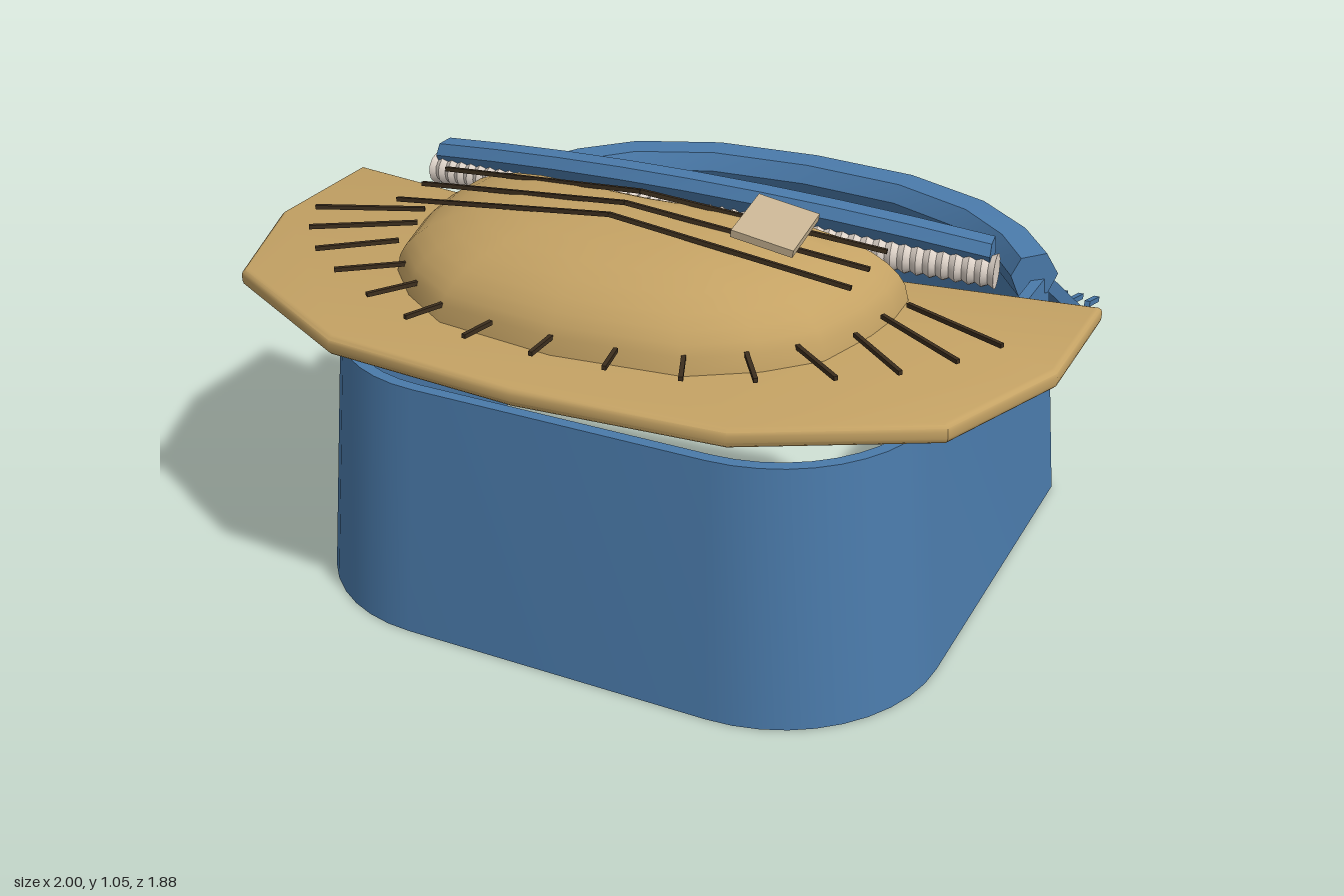
import * as THREE from 'three';
import { toCreasedNormals } from 'three/addons/utils/BufferGeometryUtils.js';
import { ConvexGeometry } from 'three/addons/geometries/ConvexGeometry.js';

const V = (x, y, z) => new THREE.Vector3(x, y, z);
const mat = (name, color) => {
  const m = new THREE.MeshStandardMaterial({ color });
  m.name = name;
  return m;
};

// Closed solid through a row of rings with equal point counts, capped at both ends
function loft(rings, crease) {
  const m = rings[0].length, n = rings.length, index = [];
  for (let i = 0; i < n - 1; i++) for (let j = 0; j < m; j++) {
    const k = (j + 1) % m, a = i * m + j, b = i * m + k, c = a + m, d = b + m;
    index.push(a, b, d, a, d, c);
  }
  const e = (n - 1) * m;
  for (let j = 1; j < m - 1; j++) index.push(0, j + 1, j, e, e + j, e + j + 1);
  const pts = rings.flat();
  // Flip the faces if the solid is inside out
  let volume = 0;
  for (let i = 0; i < index.length; i += 3) {
    volume += pts[index[i]].dot(pts[index[i + 1]].clone().cross(pts[index[i + 2]]));
  }
  if (volume < 0) index.reverse();
  const g = new THREE.BufferGeometry().setFromPoints(pts);
  g.setIndex(index);
  return toCreasedNormals(g, crease);
}

// Horizontal direction across a path at point i
function across(path, i) {
  const t = path[Math.min(i + 1, path.length - 1)].clone().sub(path[Math.max(i - 1, 0)]);
  return V(t.z, 0, -t.x).normalize();
}

// Sweep a section of [outward, up] offsets along a path
const sweep = (path, section, crease) => loft(path.map((p, i) => {
  const out = across(path, i), [pts] = [section(i)];
  return pts.map(([o, u]) => p.clone().addScaledVector(out, o).add(V(0, u, 0)));
}), crease);

// Tapered upright wall following a floor outline
function wall(path, height, thick, taper) {
  return loft(path.map((p, i) => {
    const inner = p.clone().addScaledVector(across(path, i), -thick);
    const up = q => V(q.x * taper, height, q.z * taper);
    return [p, up(p), up(inner), inner];
  }), 0.5);
}

export function createModel() {
  const model = new THREE.Group();
  const blue = mat('blue cloth', 0x4a7aaa);
  const straw = mat('straw', 0xc4a264);
  const dark = mat('dark brown', 0x3c2e1e);
  const cream = mat('cream', 0xddd2c8);
  const beige = mat('beige', 0xc8b493);
  const add = (name, geometry, material, parent = model) => {
    const mesh = new THREE.Mesh(geometry, material);
    mesh.name = name;
    parent.add(mesh);
    return mesh;
  };
  const rod = (name, a, b, w, material, parent) => {
    const d = b.clone().sub(a);
    const mesh = add(name, new THREE.BoxGeometry(w, w, d.length()), material, parent);
    mesh.position.copy(a).add(b).multiplyScalar(0.5);
    mesh.quaternion.setFromUnitVectors(V(0, 0, 1), d.normalize());
  };

  // Front wall: straight sides with wide round corners
  const r = 0.4, front = [V(0.79, 0, -0.5)];
  for (const side of [1, -1]) {
    for (let i = 0; i <= 10; i++) {
      const a = (side > 0 ? i : 10 - i) / 10 * Math.PI / 2;
      front.push(V(side * (0.79 - r + r * Math.cos(a)), 0, 0.81 - r + r * Math.sin(a)));
    }
  }
  front.push(V(-0.79, 0, -0.5));
  add('frontWall', wall(front, 0.63, 0.03, 0.938), blue);

  // Back wall: faceted panel
  const back = [[-0.78, -0.505], [-0.66, -0.67], [-0.39, -0.79], [0.39, -0.79], [0.66, -0.67], [0.78, -0.505]];
  add('backWall', wall(back.map(([x, z]) => V(x, 0, z)), 0.63, 0.03, 0.93), blue);

  // Six-sided collar around the back
  const hex = [[-0.04, 0.05], [0.03, 0.055], [0.065, -0.005], [0.04, -0.055], [-0.04, -0.055], [-0.065, 0.005]];
  const half = [[0.28, 0.684, -0.665], [0.5, 0.676, -0.595], [0.635, 0.66, -0.51], [0.72, 0.645, -0.415]].map(p => V(...p));
  const collarPath = [...half.map(p => V(-p.x, p.y, p.z)).reverse(), V(0, 0.687, -0.682), ...half];
  add('collar', sweep(collarPath, () => hex, 0.3), blue);

  // Hanging scarf end with fringe
  const flap = [V(0.5, 0.62, -0.67), V(0.63, 0.62, -0.61), V(0.78, 0.37, -0.81), V(0.62, 0.4, -0.865)];
  add('scarfEnd', new ConvexGeometry(flap.flatMap(p => [p, p.clone().add(V(-0.012, -0.03, 0.012))])), blue);
  for (let i = 0; i < 4; i++) {
    const x = 0.622 + i * 0.045;
    rod('fringe', V(x, 0.39, -0.84), V(x, 0.36, -0.945), 0.015, blue);
  }

  // Hat brim
  const hat = new THREE.Group();
  hat.name = 'hat';
  model.add(hat);
  const bevel = 0.015;
  const edge = [[0.985, 0.03], [0.985, 0.36], [0.86, 0.68], [0.475, 0.885], [0, 0.92],
    [-0.475, 0.885], [-0.86, 0.68], [-0.985, 0.36], [-0.985, 0.03], [0, 0.16]];
  const brim = new THREE.ExtrudeGeometry(new THREE.Shape(edge.map(p => new THREE.Vector2(...p))),
    { depth: 0.015, bevelThickness: bevel, bevelSize: bevel, bevelSegments: 3 });
  brim.rotateX(Math.PI / 2).translate(0, 0.785, 0);
  add('brim', toCreasedNormals(brim, 0.6), straw, hat);

  // Domed crown
  const rim = [[0, 0.765], [0.3, 0.73], [0.44, 0.64], [0.54, 0.535], [0.585, 0.38], [0.6, 0.27], [0.595, 0.175],
    [0.3, 0.195], [0, 0.21]];
  const base = [...rim, ...rim.slice(1, -1).reverse().map(([x, z]) => [-x, z])];
  const levels = [1, 0.985, 0.96, 0.92, 0.86, 0.77, 0.65, 0.5, 0.3, 0.03];
  add('crown', loft(levels.map(s => base.map(([x, z]) =>
    V(x * s, 0.8 + 0.2 * Math.sqrt(1 - s ** 2.6), 0.36 + (z - 0.36) * s))), 0.8), straw, hat);

  // Long straw lines over the crown
  for (const [zEnd, zMid] of [[0.26, 0.335], [0.365, 0.41], [0.472, 0.485]]) {
    for (const s of [-1, 1]) rod('crownLine', V(s * 0.57, 0.95, zEnd), V(0, 1.02, zMid), 0.01, dark, hat);
  }

  // Short straw lines radiating over the brim: x, z of the outer and inner end
  const rays = [[0.88, 0.38, 0.63, 0.276], [0.82, 0.49, 0.6, 0.355], [0.73, 0.59, 0.58, 0.465], [0.62, 0.67, 0.49, 0.57],
    [0.476, 0.75, 0.4, 0.635], [0.335, 0.81, 0.295, 0.715], [0.17, 0.835, 0.153, 0.75]];
  for (const [x1, z1, x2, z2] of rays) {
    for (const s of [-1, 1]) rod('brimLine', V(s * x1, 0.84, z1), V(s * x2, 0.84, z2), 0.01, dark, hat);
  }
  rod('brimLine', V(0, 0.84, 0.845), V(0, 0.84, 0.75), 0.01, dark, hat);

  // Patch on the crown
  const patch = add('patch', new THREE.BoxGeometry(0.145, 0.018, 0.17), beige, hat);
  patch.position.set(0.352, 1.018, 0.378);
  patch.rotation.set(0.12, 0.06, -0.2);

  // Ribbed roll behind the hat
  const rollPath = [], steps = 200;
  for (let i = 0; i <= steps; i++) {
    const x = -0.75 + 1.5 * i / steps, k = Math.abs(x) / 0.75;
    rollPath.push(V(x, 0.87 - 0.03 * k, 0.112 - 0.09 * k));
  }
  add('roll', sweep(rollPath, i => {
    const radius = 0.038 + 0.004 * Math.cos(i * Math.PI / 2);
    return Array.from({ length: 14 }, (_, j) => {
      const a = j / 14 * Math.PI * 2;
      return [radius * Math.cos(a), radius * Math.sin(a)];
    });
  }, 0.9), cream);

  // Blue band lying on the roll
  const bandPath = [];
  for (let i = -4; i <= 4; i++) {
    const k = (i / 4) ** 2;
    bandPath.push(V(0.735 * i / 4, 0.932 - 0.052 * k, 0.065 - 0.055 * k));
  }
  add('band', sweep(bandPath, () => hex.map(([o, u]) => [o * 0.6, u * 0.6]), 0.3), blue);

  return model;
}
